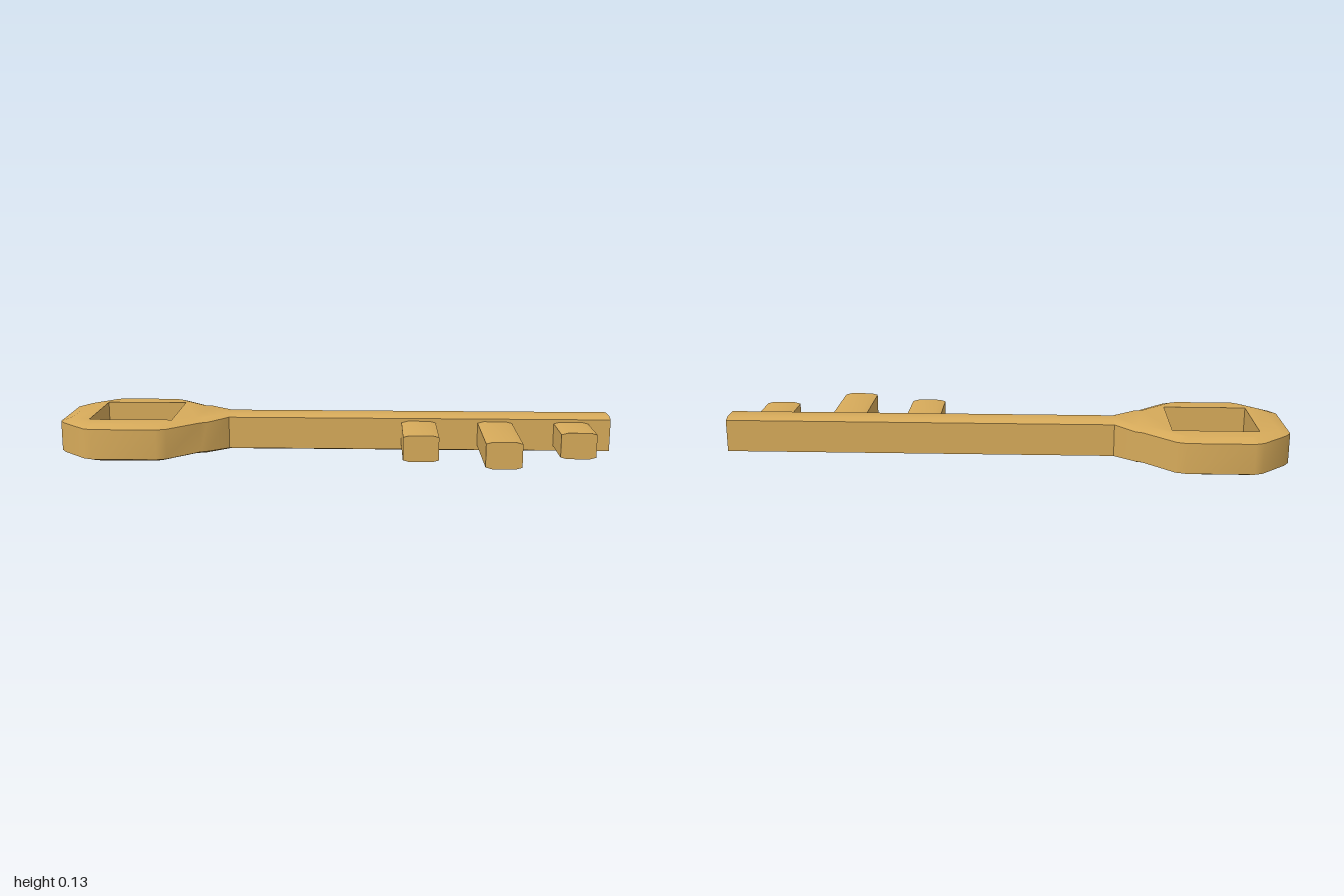
import * as THREE from 'three';
import { toCreasedNormals } from 'three/addons/utils/BufferGeometryUtils.js';

const MID_Y = 0.067, MID_Z = -0.058, HALF_H = 0.067;
const brass = new THREE.MeshStandardMaterial({ color: 0xd6aa5a });

function addMesh(group, name, geometry) {
  const mesh = new THREE.Mesh(toCreasedNormals(geometry, 0.5), brass);
  mesh.name = name;
  group.add(mesh);
  return mesh;
}

// Bar whose top and bottom edges have a shallow bevel
function beveledBar(halfW, halfH, flatW, sideH, length) {
  const quarter = [[flatW, halfH], [-flatW, halfH], [-halfW, sideH], [-halfW, -sideH],
    [-flatW, -halfH], [flatW, -halfH], [halfW, -sideH], [halfW, sideH]];
  const shape = new THREE.Shape(quarter.map(([x, y]) => new THREE.Vector2(x, y)));
  return new THREE.ExtrudeGeometry(shape, { depth: length, bevelEnabled: false });
}

// Octagonal bow with sloped rim, square hole and tapering neck
function bowGeometry() {
  // half outline: rim x, rim z, rim half height, inner x, inner z
  const half = [
    [-1, 0.125, 0.054, -0.96, 0.11],
    [-0.98, 0.157, 0.054, -0.945, 0.135],
    [-0.89, 0.246, 0.054, -0.87, 0.21],
    [-0.86, 0.258, 0.054, -0.85, 0.222],
    [-0.63, 0.258, 0.054, -0.64, 0.222],
    [-0.595, 0.246, 0.054, -0.615, 0.21],
    [-0.49, 0.141, 0.054, -0.51, 0.107],
    [-0.465, 0.13, 0.054, -0.475, 0.097],
    [-0.395, 0.0605, 0.058, -0.395, 0.03],
  ];
  const mirrored = half.map(([x, z, h, ix, iz]) => [x, -z, h, ix, -iz]).reverse();
  const outline = [...half, ...mirrored];
  const pos = [];
  const tri = (a, b, c) => pos.push(...a, ...b, ...c);
  const loft = (low, high) => low.forEach((a, i) => {
    const j = (i + 1) % low.length;
    tri(a, low[j], high[j]);
    tri(a, high[j], high[i]);
  });

  // outer wall: bottom bevel, side, top bevel
  const rim = (s) => outline.map(([x, z, h]) => [x, s * h, z]);
  const inner = (s) => outline.map(([, , , x, z]) => [x, s * HALF_H, z]);
  const rings = [inner(-1), rim(-1), rim(1), inner(1)];
  for (let k = 0; k < 3; k++) loft(rings[k], rings[k + 1]);

  // hole wall, wound the other way
  const hole = [[-0.89, -0.15], [-0.59, -0.15], [-0.59, 0.15], [-0.89, 0.15]];
  const holeRing = (s) => hole.map(([x, z]) => [x, s * HALF_H, z]);
  loft(holeRing(-1), holeRing(1));

  // flat faces above and below
  const flat = (ring) => ring.map(([x, , z]) => new THREE.Vector2(x, -z));
  const faces = THREE.ShapeUtils.triangulateShape(flat(rings[3]), [flat(holeRing(1))]);
  const top = [...rings[3], ...holeRing(1)];
  const bottom = [...rings[0], ...holeRing(-1)];
  for (const [a, b, c] of faces) {
    tri(top[a], top[b], top[c]);
    tri(bottom[a], bottom[c], bottom[b]);
  }
  const geometry = new THREE.BufferGeometry();
  geometry.setAttribute('position', new THREE.Float32BufferAttribute(pos, 3));
  geometry.computeVertexNormals();
  return geometry;
}

export function createModel() {
  const key = new THREE.Group();
  key.name = 'key';

  addMesh(key, 'bow', bowGeometry()).position.set(0, MID_Y, MID_Z);

  // Long shaft running towards +x
  const shaft = beveledBar(0.0605, HALF_H, 0.03, 0.058, 1.395).rotateY(Math.PI / 2);
  addMesh(key, 'shaft', shaft).position.set(-0.395, MID_Y, MID_Z);

  // Teeth: centre x and front end z
  [[0.302, 0.23], [0.58, 0.316], [0.857, 0.173]].forEach(([x, z], i) => {
    const tooth = beveledBar(0.0625, 0.047, 0.04, 0.041, z + 0.01);
    addMesh(key, `tooth${i + 1}`, tooth).position.set(x, MID_Y + 0.001, -0.01);
  });
  return key;
}
